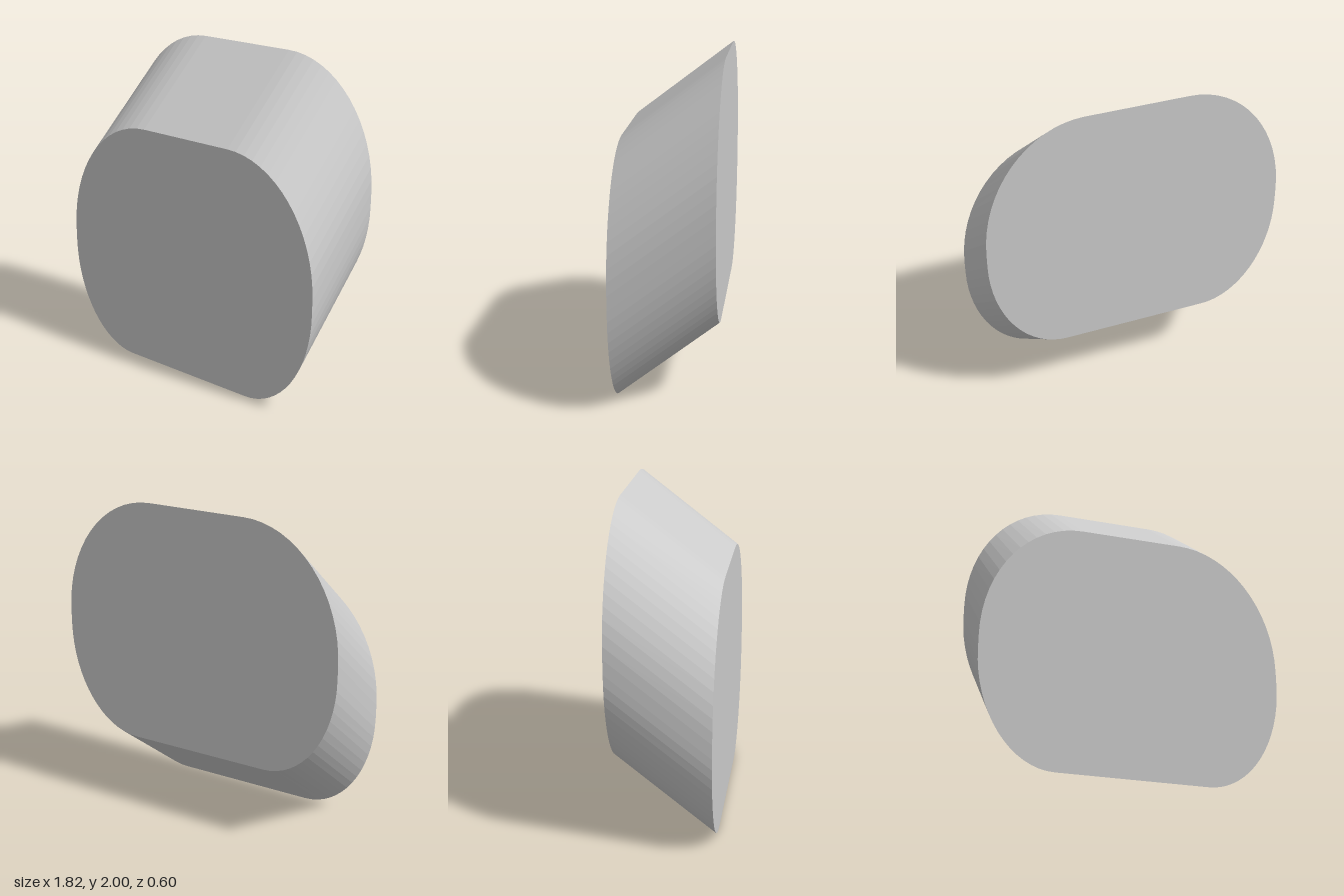
import * as THREE from 'three';

const HALF_WIDTH = 0.91, HEIGHT = 1.54, DEPTH = 0.6;

// Rounded outline with larger upper corners than lower ones
function outline() {
  const s = new THREE.Shape();
  const top = { x: 0.31, y: 0.77 }, low = { x: 0.45, y: 0.68 };
  const corner = (c, ry, from) =>
    s.absellipse(c[0], c[1], HALF_WIDTH - Math.abs(c[0]), ry, from, from + Math.PI / 2, false);
  s.moveTo(-low.x, 0);
  s.lineTo(low.x, 0);
  corner([low.x, low.y], low.y, -Math.PI / 2);
  corner([top.x, top.y], HEIGHT - top.y, 0);
  corner([-top.x, top.y], HEIGHT - top.y, Math.PI / 2);
  corner([-low.x, low.y], low.y, Math.PI);
  return s;
}

export function createModel() {
  const group = new THREE.Group();
  group.name = 'slantedBlock';

  const geometry = new THREE.ExtrudeGeometry(outline(), {
    depth: DEPTH, bevelEnabled: false, curveSegments: 8,
  });
  geometry.translate(0, 0, -DEPTH / 2);

  // Shear the block so that it rises towards the back
  const p = geometry.attributes.position;
  for (let i = 0; i < p.count; i++) {
    const t = 0.5 - p.getZ(i) / DEPTH, y = p.getY(i);
    p.setY(i, y + t * (0.48 - 0.02 * y / HEIGHT));
  }
  geometry.computeVertexNormals();

  const body = new THREE.Mesh(geometry,
    new THREE.MeshStandardMaterial({ color: 0xcccccc, flatShading: true }));
  body.name = 'body';
  group.add(body);
  return group;
}
